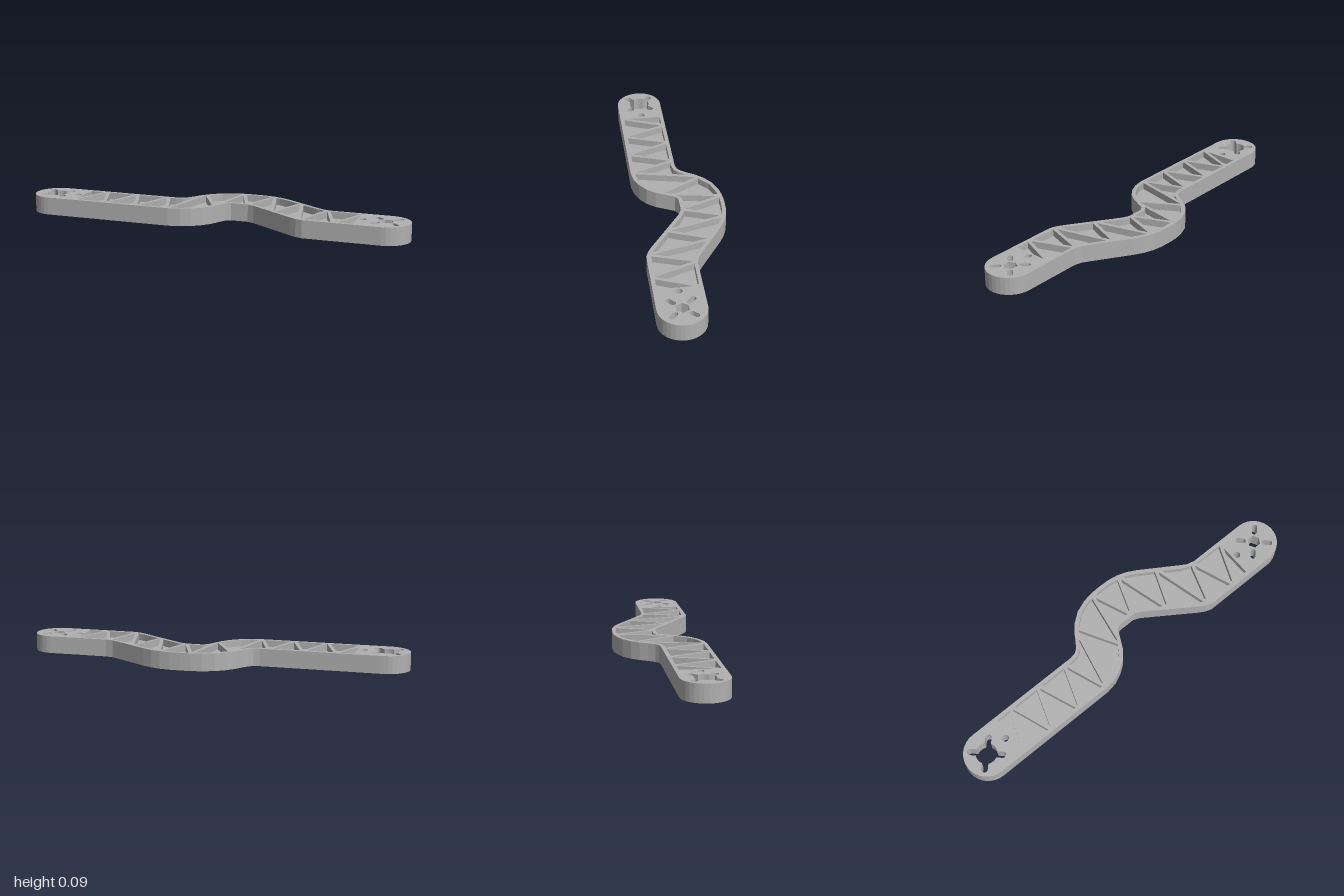
import * as THREE from 'three';

const HEIGHT = 0.09, FLOOR = 0.02;   // arm height, pocket floor thickness
const WALL = 0.02, STRUT = 0.009;    // rim thickness, half strut thickness
const END_X = 0.8815, MID_Z = 0.1015, END_R = 0.1185;

// Back and front edges of the arm, as [x, z] from left to right
const back = [[-END_X, -0.017], [-0.255, -0.017], [-0.225, -0.023], [-0.205, -0.037], [-0.18, -0.07],
  [-0.155, -0.11], [-0.12, -0.15], [-0.07, -0.187], [-0.01, -0.21], [0.045, -0.22], [0.1, -0.222],
  [0.16, -0.22], [0.21, -0.212], [0.26, -0.195], [0.31, -0.168], [0.5, -0.045], [0.53, -0.027],
  [0.57, -0.017], [END_X, -0.017]];
const front = [[-END_X, 0.22], [-0.21, 0.22], [-0.15, 0.21], [-0.1, 0.188], [-0.055, 0.155],
  [-0.02, 0.11], [0.01, 0.05], [0.025, 0.02], [0.05, 0.005], [0.14, 0.005], [0.175, 0.02],
  [0.42, 0.187], [0.455, 0.208], [0.49, 0.22], [END_X, 0.22]];

// x of the zigzag strut ends, alternating back, front, back...
const nodeX = [-0.744, -0.744, -0.645, -0.56, -0.475, -0.385, -0.3, -0.215, -0.135, -0.01, 0.045,
  0.135, 0.215, 0.3, 0.39, 0.475, 0.555, 0.645, 0.744, 0.744];

// Shapes are drawn with y = -z, then laid flat
const toVec = ([x, z]) => new THREE.Vector2(x, -z);

function pointOn(edge, x) {
  const i = edge.findIndex((p, k) => k > 0 && p[0] >= x);
  const [a, b] = [edge[i - 1], edge[i]];
  return [x, a[1] + (b[1] - a[1]) * (x - a[0]) / (b[0] - a[0])];
}

// Move every side of a polygon inwards by its own distance
function inset(points, distances) {
  const n = points.length;
  const side = THREE.ShapeUtils.area(points) > 0 ? 1 : -1;
  const lines = points.map((p, i) => {
    const d = points[(i + 1) % n].clone().sub(p).normalize();
    const normal = new THREE.Vector2(-d.y, d.x).multiplyScalar(side);
    return { d, normal, p: p.clone().addScaledVector(normal, distances[i]) };
  });
  return lines.map((line, i) => {
    const prev = lines[(i + n - 1) % n];
    const cross = prev.d.cross(line.d);
    if (Math.abs(cross) < 0.01) return line.p.clone();
    const t = line.p.clone().sub(prev.p).cross(line.d) / cross;
    return prev.p.clone().addScaledVector(prev.d, t);
  });
}

// Triangular pocket between two struts, following the rim on its wide side
function pocket(i) {
  const own = i % 2 ? front : back, wide = i % 2 ? back : front;
  const start = pointOn(wide, nodeX[i - 1]), end = pointOn(wide, nodeX[i + 1]);
  const far = (p, q) => Math.hypot(p[0] - q[0], p[1] - q[1]) > 0.03;
  const between = wide.filter(p => p[0] > start[0] && p[0] < end[0] && far(p, start) && far(p, end));
  const base = [start, ...between, end];
  const points = [...base, pointOn(own, nodeX[i])].map(toVec);
  const distances = points.map((p, k) => (k < base.length - 1 ? WALL : STRUT));
  return inset(points, distances);
}

function arc(cx, cz, r, from, to, n) {
  return Array.from({ length: n + 1 }, (_, i) => {
    const a = from + (to - from) * i / n;
    return new THREE.Vector2(cx + r * Math.cos(a), -cz + r * Math.sin(a));
  });
}

const circle = (cx, cz, r, n) => arc(cx, cz, r, 0, Math.PI * 2, n).slice(0, -1);

// Rounded slot lying along a direction from a centre
function slot(cx, cz, angle, r0, r1, w) {
  const at = r => [cx + r * Math.cos(angle), cz - r * Math.sin(angle)];
  return [...arc(...at(r1), w, angle - Math.PI / 2, angle + Math.PI / 2, 6),
    ...arc(...at(r0), w, angle + Math.PI / 2, angle + Math.PI * 1.5, 6)];
}

// Round hole with four diagonal rounded lobes
function lobedHole(cx, cz, r, reach, w) {
  const points = [], half = Math.asin(w / r);
  for (let k = 0; k < 4; k++) {
    const a = Math.PI / 4 + k * Math.PI / 2;
    points.push(...arc(cx + reach * Math.cos(a), cz - reach * Math.sin(a), w, a - Math.PI / 2, a + Math.PI / 2, 8));
    points.push(...arc(cx, cz, r, a + half, a + Math.PI / 2 - half, 6));
  }
  return points;
}

function flatExtrude(shapes, depth, y) {
  const geometry = new THREE.ExtrudeGeometry(shapes, { depth, bevelEnabled: false });
  return geometry.rotateX(-Math.PI / 2).translate(0, y, 0);
}

export function createModel() {
  const group = new THREE.Group();
  group.name = 'trussArm';
  const grey = new THREE.MeshStandardMaterial({ color: 0xb0b0b0 });
  grey.name = 'grey';

  // Outline with rounded ends
  const outline = [
    ...front.slice(1, -1).map(toVec),
    ...arc(END_X, MID_Z, END_R, -Math.PI / 2, Math.PI / 2, 16),
    ...back.slice(1, -1).reverse().map(toVec),
    ...arc(-END_X, MID_Z, END_R, Math.PI / 2, Math.PI * 1.5, 16),
  ];
  const body = new THREE.Shape(outline);

  // Truss pockets
  const pockets = [];
  for (let i = 1; i < nodeX.length - 1; i++) pockets.push(pocket(i));

  // Mounting holes at both ends
  const holes = [
    lobedHole(-0.885, 0.1, 0.053, 0.08, 0.016),
    circle(0.88, 0.1, 0.034, 6),
    circle(-0.766, 0.1, 0.017, 16),
    circle(0.762, 0.1, 0.017, 16),
  ];
  for (let k = 0; k < 4; k++) holes.push(slot(0.88, 0.1, Math.PI / 4 + k * Math.PI / 2, 0.054, 0.083, 0.013));
  [...pockets, ...holes].forEach(points => body.holes.push(new THREE.Path(points)));

  const frame = new THREE.Mesh(flatExtrude(body, HEIGHT, 0), grey);
  frame.name = 'frame';
  group.add(frame);

  // Thin web closing the pockets at mid height
  const floors = pockets.map(points => new THREE.Shape(points));
  const web = new THREE.Mesh(flatExtrude(floors, FLOOR, (HEIGHT - FLOOR) / 2), grey);
  web.name = 'pocketWeb';
  group.add(web);
  return group;
}
